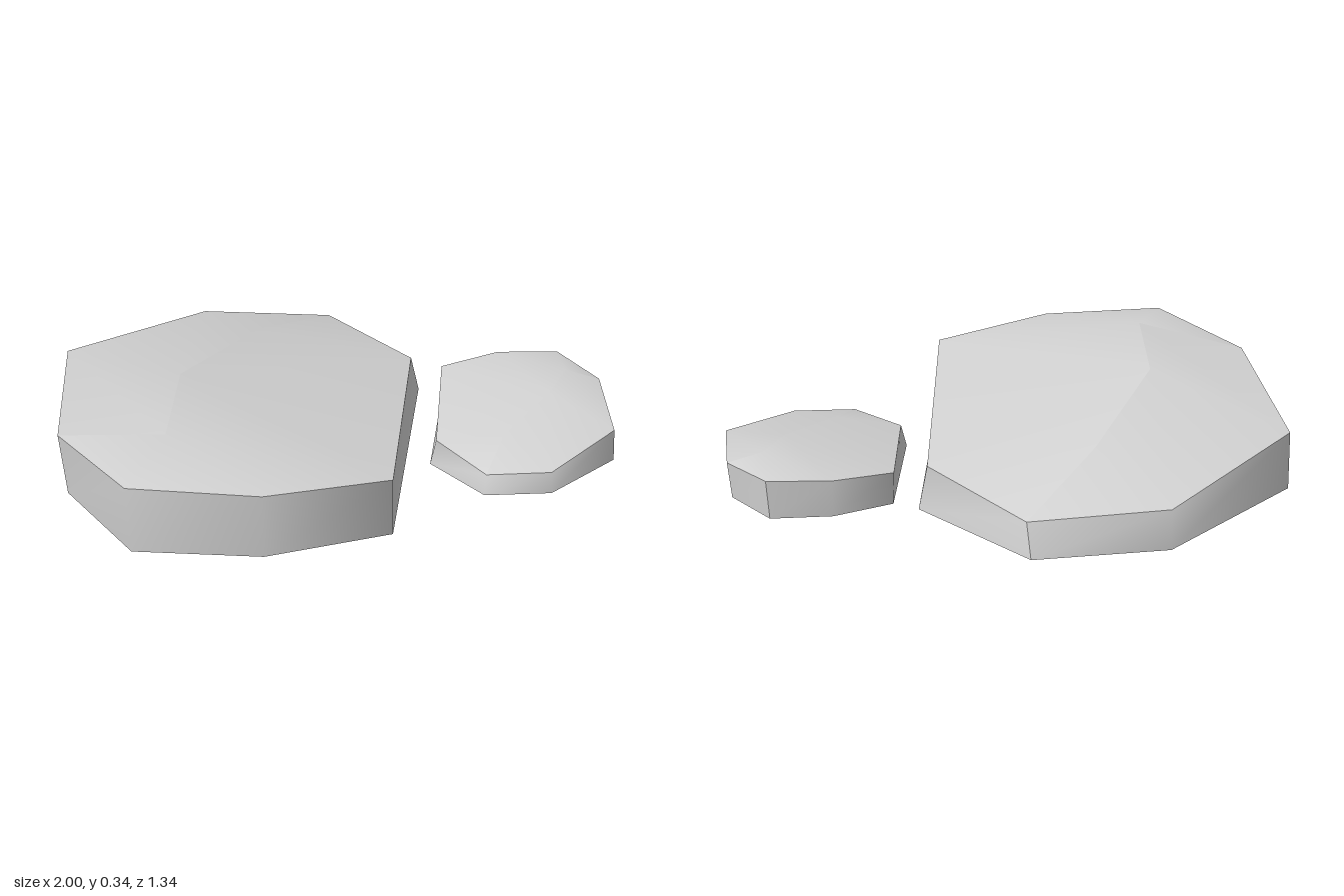
import * as THREE from 'three';

function makeMesh(name, points, faces, material) {
  const g = new THREE.BufferGeometry();
  g.setAttribute('position', new THREE.Float32BufferAttribute(points.flat(), 3));
  g.setIndex(faces.flat());
  g.computeVertexNormals();
  const mesh = new THREE.Mesh(g, material);
  mesh.name = name;
  return mesh;
}

// An open-bottomed slab of rock: a smooth wall between two rings, capped by a ridged top.
// owners[i] tells which ridge point the rim edge i -> i + 1 rises to;
// frontEdges lists the rim edges on the front side of the ridge.
function makeRock(name, { base, rim, ridge, owners, frontEdges }, material) {
  const n = rim.length;
  const rock = new THREE.Group();
  rock.name = name;

  // side wall, a strip with its seam at the back
  const wallPoints = [];
  const wallFaces = [];
  for (let k = 0; k <= n; k++) {
    const i = (5 + k) % n;
    const a = 2 * k;
    wallPoints.push([base[i][0], 0, base[i][1]], rim[i]);
    if (k < n) wallFaces.push([a, a + 2, a + 3], [a, a + 3, a + 1]);
  }
  rock.add(makeMesh(name + 'Wall', wallPoints, wallFaces, material));

  // top, fanned from the rim to the ridge, with a crisp edge along the ridge
  const frontFaces = [];
  const backFaces = [];
  for (let i = 0; i < n; i++) {
    const j = (i + 1) % n;
    const faces = frontEdges.includes(i) ? frontFaces : backFaces;
    faces.push([i, j, n + owners[i]]);
    if (owners[i] !== owners[j]) faces.push([n + owners[i], j, n + owners[j]]);
  }
  rock.add(makeMesh(name + 'TopFront', [...rim, ...ridge], frontFaces, material));
  rock.add(makeMesh(name + 'TopBack', [...rim, ...ridge], backFaces, material));
  return rock;
}

// Rings run from the front left corner, counterclockwise seen from above.
const LARGE = {
  base: [[-0.97, 0.275], [-0.73, 0.6], [-0.28, 0.65], [0.165, 0.555],
    [0.33, -0.29], [-0.01, -0.668], [-0.49, -0.673], [-1, -0.333]],
  rim: [[-0.98, 0.265, 0.285], [-0.73, 0.297, 0.625], [-0.28, 0.28, 0.67], [0.16, 0.245, 0.562],
    [0.295, 0.16, -0.27], [0, 0.127, -0.63], [-0.49, 0.147, -0.653], [-0.998, 0.213, -0.305]],
  ridge: [[-0.6, 0.343, 0.4], [-0.56, 0.33, 0.03], [-0.28, 0.245, -0.37]],
  owners: [0, 0, 0, 1, 2, 2, 1, 0],
  frontEdges: [0, 1, 2, 3, 4],
};

const SMALL = {
  base: [[0.33, 0.175], [0.505, 0.363], [0.745, 0.363], [1, 0.185],
    [0.98, -0.115], [0.85, -0.28], [0.63, -0.295], [0.415, -0.24]],
  rim: [[0.35, 0.095, 0.16], [0.51, 0.078, 0.345], [0.74, 0.085, 0.352], [0.995, 0.12, 0.165],
    [0.988, 0.145, -0.12], [0.855, 0.157, -0.29], [0.63, 0.15, -0.308], [0.41, 0.132, -0.25]],
  ridge: [[0.86, 0.184, -0.13], [0.78, 0.176, 0], [0.59, 0.135, 0.19]],
  owners: [2, 2, 1, 0, 0, 0, 1, 2],
  frontEdges: [1, 2, 3],
};

export function createModel() {
  const stone = new THREE.MeshStandardMaterial({ color: 0xd2d2d2, side: THREE.DoubleSide });
  stone.name = 'stone grey';

  const model = new THREE.Group();
  model.name = 'flatRocks';
  model.add(makeRock('largeRock', LARGE, stone), makeRock('smallRock', SMALL, stone));
  return model;
}
